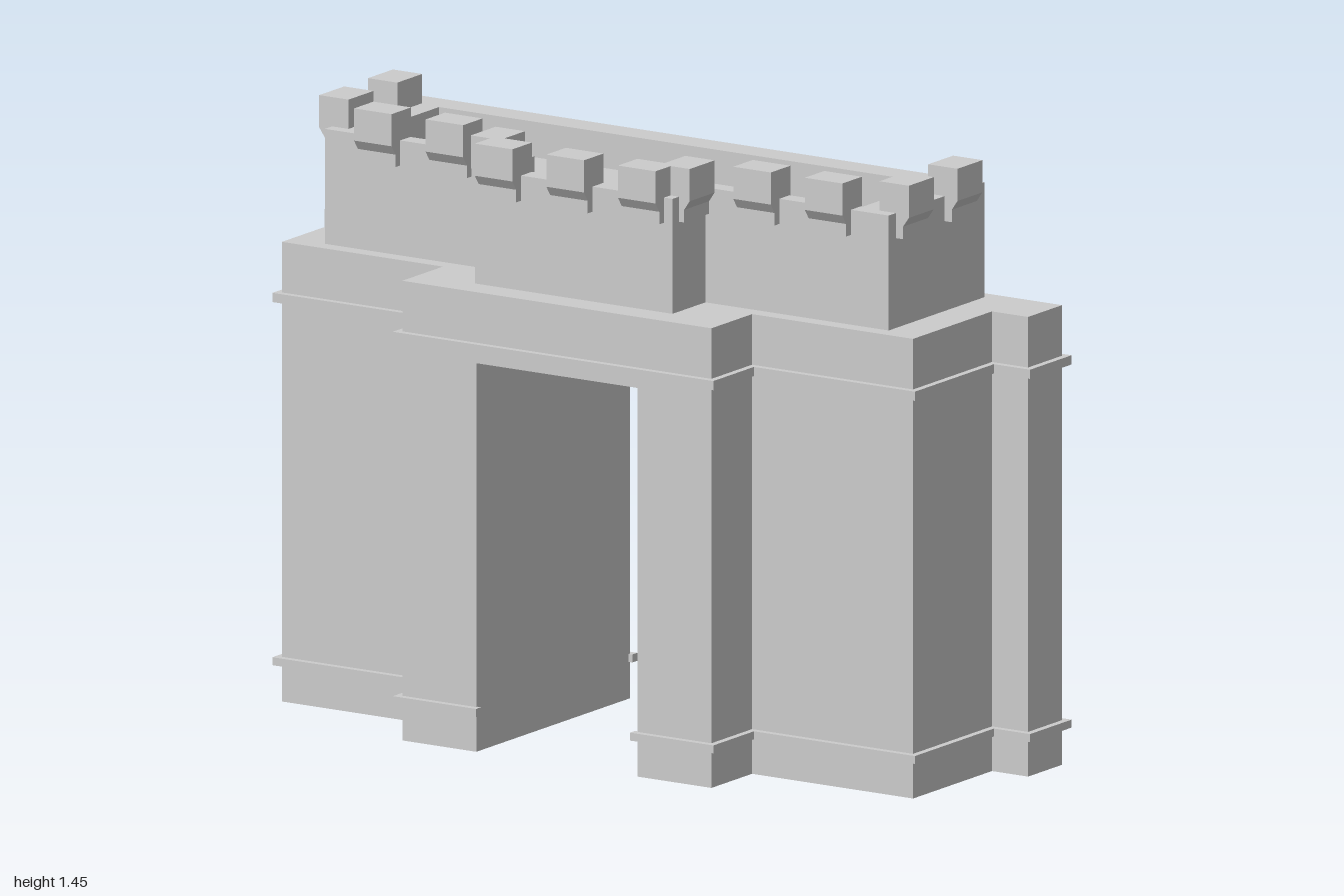
import * as THREE from 'three';

const material = new THREE.MeshStandardMaterial({ color: 0xcccccc, flatShading: true });

// Closed polygon through [x, z] floor-plan points
const trace = (path, pts) => {
  pts.forEach(([x, z], i) => (i ? path.lineTo(x, -z) : path.moveTo(x, -z)));
  path.closePath();
  return path;
};

// Upright prism over a floor plan, from y0 to y1
function prism(name, pts, y0, y1, hole) {
  const shape = trace(new THREE.Shape(), pts);
  if (hole) shape.holes.push(trace(new THREE.Path(), hole));
  const geo = new THREE.ExtrudeGeometry(shape, { depth: y1 - y0, bevelEnabled: false });
  geo.rotateX(-Math.PI / 2).translate(0, y0, 0);
  const mesh = new THREE.Mesh(geo, material);
  mesh.name = name;
  return mesh;
}

const mirrorX = (pts) => pts.map(([x, z]) => [-x, z]);
const bothSides = (half) => [...half, ...mirrorX(half).reverse()];

// Right half of the stepped gate plan, front to back, grown outward by g
const gatePlan = (g) => [
  [0.432 + g, 0.323 + g], [0.432 + g, 0.152 + g],
  [0.882 + g, 0.152 + g], [0.882 + g, -0.18 + g],
  [0.983 + g, -0.18 + g], [0.983 + g, -0.323 - g],
];

export function createModel() {
  const model = new THREE.Group();
  model.name = 'gatehouse';

  const doorX = 0.225, doorTop = 0.93, bodyTop = 1.10, grow = 0.016;

  // Legs, each with an open band round its outer faces
  for (const side of [1, -1]) {
    const place = (pts) => (side > 0 ? pts : mirrorX(pts));
    const tag = side > 0 ? 'left' : 'right';
    const leg = [[doorX, 0.323], ...gatePlan(0), [doorX, -0.323]];
    model.add(prism(tag + 'Leg', place(leg), 0, doorTop));

    const end = doorX - 0.01;
    const strip = (g) => [[end, 0.323 + g], ...gatePlan(g), [end, -0.323 - g]];
    const band = [...strip(grow), ...strip(-0.005).reverse()];
    model.add(prism(tag + 'LowerBand', place(band), 0.088, 0.107));
  }

  // Lintel block over the passage and the band around it
  model.add(prism('lintel', bothSides(gatePlan(0)), doorTop, bodyTop));
  model.add(prism('upperBand', bothSides(gatePlan(grow)), 0.957, 0.979));

  // Upper storey with a sunken roof behind the parapet
  const storey = bothSides([[0.276, 0.252], [0.276, 0.113], [0.788, 0.113], [0.788, -0.29]]);
  const roof = bothSides([[0.23, 0.205], [0.23, 0.07], [0.688, 0.07], [0.688, -0.217]]);
  model.add(prism('upperStorey', storey, bodyTop, 1.29));
  model.add(prism('parapet', storey, 1.29, 1.375, roof));

  // Merlon: bracketed profile (outward distance, height) swept over its width
  const width = 0.105;
  const profile = new THREE.Shape([
    [-0.046, 1.315], [0.02, 1.315], [0.02, 1.345], [0.036, 1.368], [0.036, 1.445], [-0.046, 1.445],
  ].map(([d, y]) => new THREE.Vector2(d, y)));
  const merlonGeo = new THREE.ExtrudeGeometry(profile, { depth: width, bevelEnabled: false });
  merlonGeo.translate(0, 0, -width / 2);

  const merlons = new THREE.Group();
  merlons.name = 'merlons';
  const addMerlon = (x, z, turn) => {
    const mesh = new THREE.Mesh(merlonGeo, material);
    mesh.name = 'merlon';
    mesh.position.set(x, 0, z);
    mesh.rotation.y = turn;
    merlons.add(mesh);
  };
  const front = -Math.PI / 2;
  for (const x of [-0.2, 0, 0.2]) addMerlon(x, 0.252, front);
  for (const s of [1, -1]) {
    const outward = s > 0 ? 0 : Math.PI;
    for (const x of [0.43, 0.63]) addMerlon(s * x, 0.113, front);
    for (const z of [-0.175, 0.03]) addMerlon(s * 0.788, z, outward);
    addMerlon(s * 0.27, 0.172, outward);
  }
  model.add(merlons);
  return model;
}
